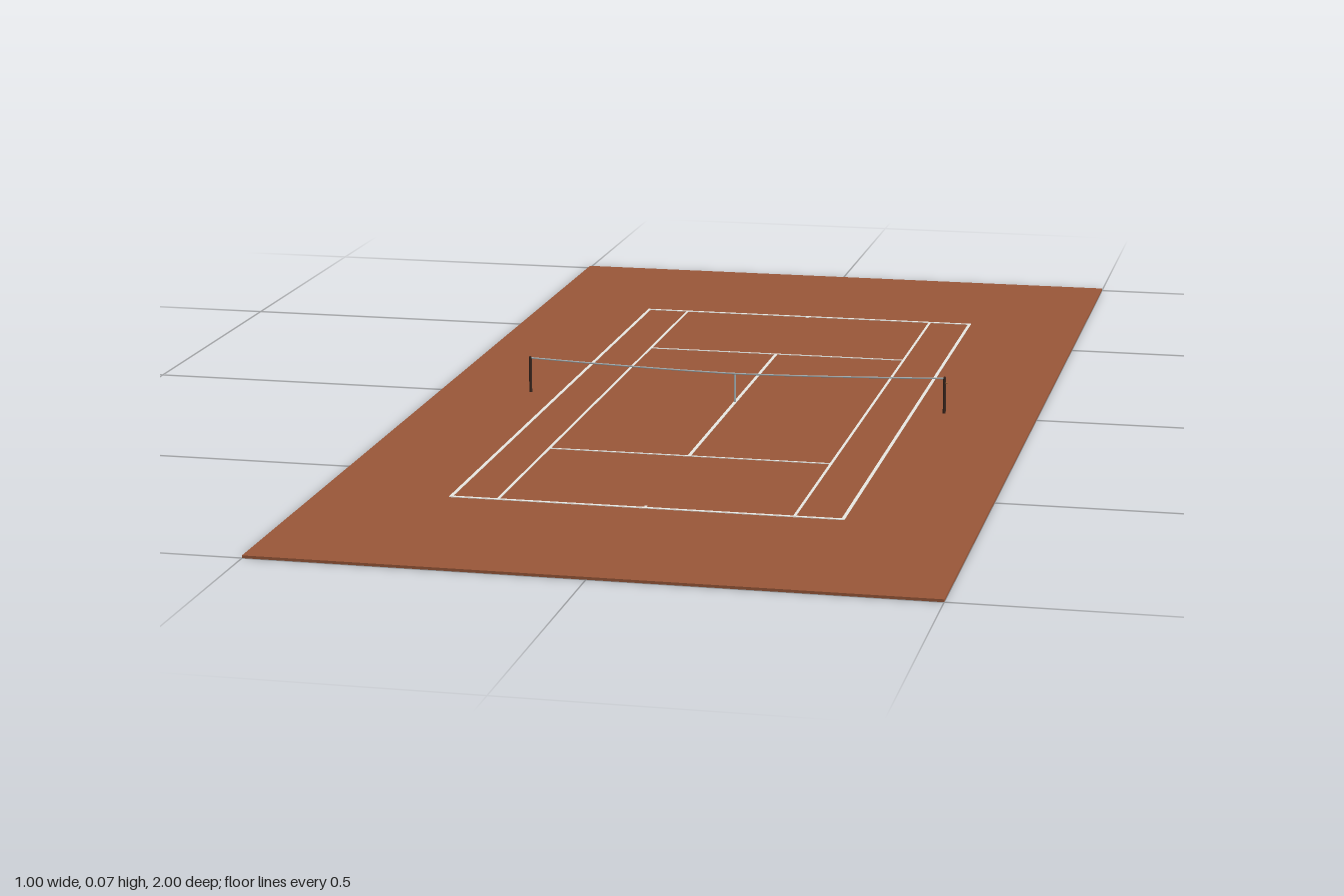
import * as THREE from 'three';

const TOP = 0.004; // height of the playing surface

export function createModel() {
  const court = new THREE.Group();
  court.name = 'tennisCourt';

  const mat = (name, color) => {
    const m = new THREE.MeshStandardMaterial({ color });
    m.name = name;
    return m;
  };
  const clay = mat('clay', 0x985638);
  const white = mat('lineWhite', 0xf0efea);
  const darkMetal = mat('darkMetal', 0x3a261e);
  const brass = mat('brass', 0xa8683c);
  const tape = mat('netTape', 0xa9b3b6);

  const add = (name, geometry, material, x = 0, y = 0, z = 0) => {
    const mesh = new THREE.Mesh(geometry, material);
    mesh.name = name;
    mesh.position.set(x, y, z);
    court.add(mesh);
    return mesh;
  };

  // Clay slab
  add('ground', new THREE.BoxGeometry(1, TOP, 2), clay, 0, TOP / 2, 0);

  // Painted lines as thin plates
  const line = (name, w, d, x, z) =>
    add(name, new THREE.BoxGeometry(w, 0.001, d), white, x, TOP + 0.0005, z);
  for (const s of [-1, 1]) {
    line('doublesSideline', 0.005, 1.3, s * 0.2975, 0);
    line('singlesSideline', 0.004, 1.29, s * 0.225, 0);
    line('baseline', 0.6, 0.006, 0, s * 0.647);
    line('serviceLine', 0.45, 0.004, 0, s * 0.348);
    line('centreMark', 0.004, 0.007, 0, s * 0.6405);
  }
  line('centreServiceLine', 0.005, 0.695, 0, 0);

  // Net posts with rounded caps
  for (const s of [-1, 1]) {
    const h = 0.059;
    add('netPost', new THREE.CylinderGeometry(0.0025, 0.0025, h, 12), darkMetal, s * 0.349, TOP + h / 2, 0);
    add('postCap', new THREE.SphereGeometry(0.0025, 12, 6, 0, Math.PI * 2, 0, Math.PI / 2),
      darkMetal, s * 0.349, TOP + h, 0);
  }

  // Winch on the left post
  const winch = add('winch', new THREE.CylinderGeometry(0.0018, 0.0018, 0.003, 10), brass, 0.3525, 0.055, 0);
  winch.rotation.z = Math.PI / 2;

  // Sagging top cord of the net
  const points = [];
  for (let i = 0; i <= 12; i++) {
    const t = i / 6 - 1;
    points.push(new THREE.Vector3(t * 0.349, 0.053 + 0.0095 * Math.pow(Math.abs(t), 1.5), 0));
  }
  add('netCord', new THREE.TubeGeometry(new THREE.CatmullRomCurve3(points), 48, 0.0014, 8), tape);

  // Centre strap holding the cord down
  add('centreStrap', new THREE.BoxGeometry(0.0025, 0.053 - TOP, 0.0015), tape, 0, (0.053 + TOP) / 2, 0);

  return court;
}
